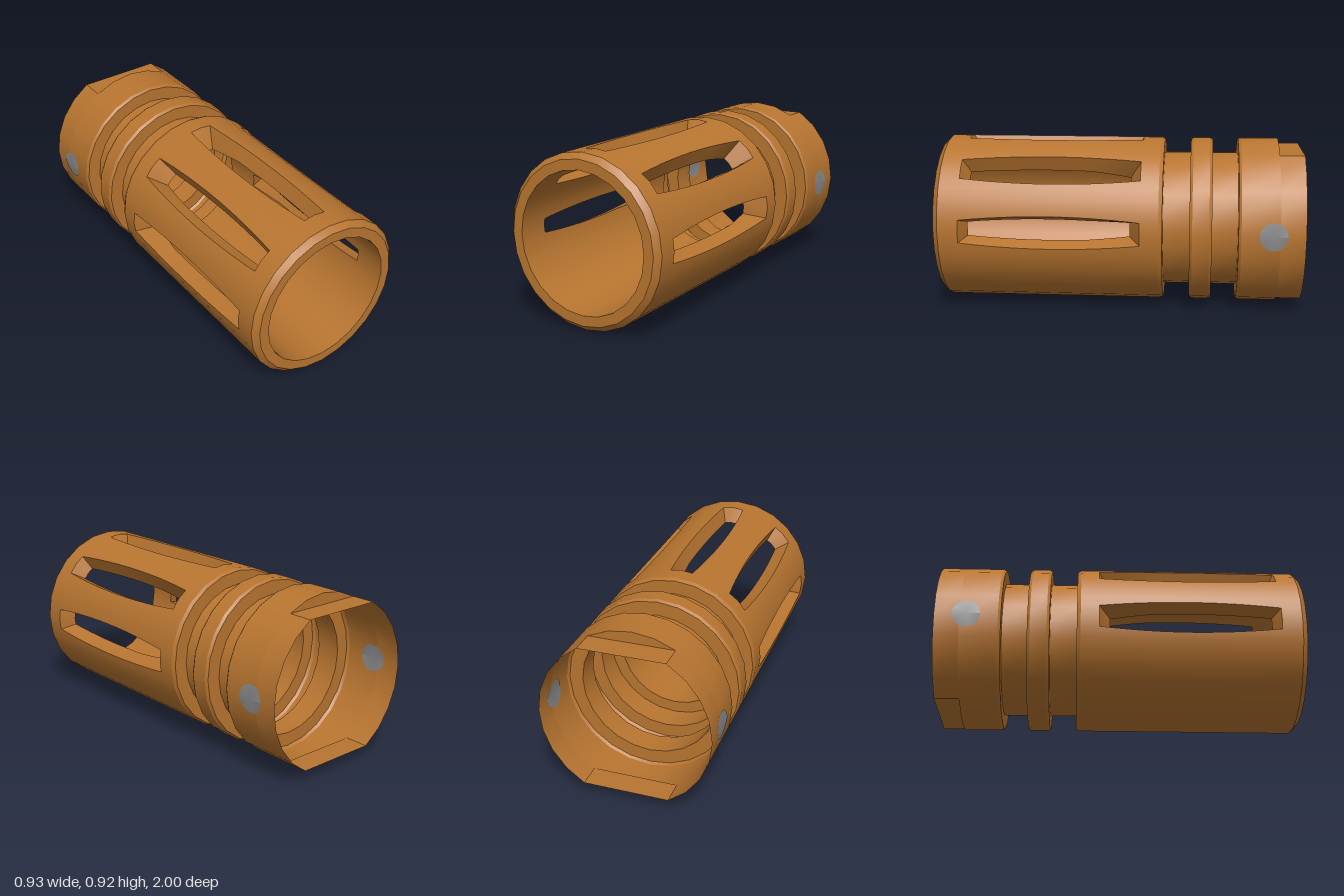
import * as THREE from 'three';
import { toCreasedNormals } from 'three/addons/utils/BufferGeometryUtils.js';

const R = 0.46, BORE = 0.375, THROAT = 0.31, FLAT = R * Math.cos(Math.PI / 6);
const FACET = Math.PI / 12; // 24 sides
const rad = THREE.MathUtils.degToRad;

const bronze = new THREE.MeshStandardMaterial({ color: 0xb87530, side: THREE.DoubleSide });
bronze.name = 'bronze';
const grey = new THREE.MeshStandardMaterial({ color: 0x8a8a8a, side: THREE.DoubleSide });
grey.name = 'pin grey';

// Revolve [z, radius] points around the z axis
function lathe(points, segments = 24, start = 0, length = Math.PI * 2) {
  const g = new THREE.LatheGeometry(points.map(([z, r]) => new THREE.Vector2(r, z)), segments, start, length);
  g.rotateX(Math.PI / 2);
  return toCreasedNormals(g, 0.5);
}

// Point on the 24-sided tube at an angle, radius and depth
function onTube(angle, r, z) {
  const local = angle - Math.floor(angle / FACET + 1e-6) * FACET;
  const rr = r * Math.cos(FACET / 2) / Math.cos(local - FACET / 2);
  return new THREE.Vector3(rr * Math.cos(angle), rr * Math.sin(angle), z);
}

function fromQuads(quads) {
  const pos = [];
  for (const [a, b, c, d] of quads) for (const p of [a, b, c, a, c, d]) pos.push(p.x, p.y, p.z);
  const g = new THREE.BufferGeometry();
  g.setAttribute('position', new THREE.Float32BufferAttribute(pos, 3));
  return g;
}

// Slot rims: outer and inner ends, half widths at the ends and at the middle
const STEPS = 12;
const boreRadius = z => THREE.MathUtils.lerp(BORE, THROAT, THREE.MathUtils.clamp((0.15 - z) / 0.39, 0, 1));
const OUTER = { z0: -0.22, z1: 0.97, a: -0.12, b: 0.86, end: 0.063, mid: 0.09, r: () => R };
const INNER = { z0: -0.24, z1: 1, a: -0.06, b: 0.82, end: 0.038, mid: 0.058, r: boreRadius };

function rim(s) {
  return Array.from({ length: STEPS + 1 }, (_, i) => {
    const t = i / STEPS, z = s.a + (s.b - s.a) * t;
    const half = s.end + (s.mid - s.end) * (1 - (2 * t - 1) ** 2);
    return { z, w: Math.asin(half / s.r(z)) };
  });
}

// One 45 degree sector of the wall, with or without a slot
function sector(s, centre, slotted, sign) {
  const rows = rim(s), quads = [];
  const all = [{ z: s.z0, w: rows[0].w }, ...rows, { z: s.z1, w: rows[STEPS].w }];
  const angles = w => [-rad(22.5), -FACET, -w, 0, w, FACET, rad(22.5)];
  for (let i = 0; i < all.length - 1; i++) {
    const line = ({ z, w }) => angles(w).map(a => onTube(centre + a, s.r(z), z));
    const p = line(all[i]), q = line(all[i + 1]);
    const open = slotted && i > 0 && i < all.length - 2;
    for (let k = 0; k < 6; k++) {
      if (open && (k === 2 || k === 3)) continue;
      quads.push(sign > 0 ? [p[k], p[k + 1], q[k + 1], q[k]] : [p[k], q[k], q[k + 1], p[k + 1]]);
    }
  }
  return quads;
}

// Side and end faces through the wall of one slot
function slotFaces(centre) {
  const o = rim(OUTER), n = rim(INNER), quads = [];
  const at = (s, e, k) => onTube(centre + k * e.w, s.r(e.z), e.z);
  for (let i = 0; i < STEPS; i++) {
    const side = k => [at(OUTER, o[i], k), at(OUTER, o[i + 1], k), at(INNER, n[i + 1], k), at(INNER, n[i], k)];
    quads.push(side(-1).reverse(), side(1));
  }
  for (const i of [0, STEPS]) for (const k of [-1, 0]) {
    const f = [at(OUTER, o[i], k), at(OUTER, o[i], k + 1), at(INNER, n[i], k + 1), at(INNER, n[i], k)];
    quads.push(i === 0 ? f.reverse() : f);
  }
  // Turn every face towards the middle of the slot
  const mid = onTube(centre, 0.41, 0.37);
  for (const q of quads) {
    const nrm = q[1].clone().sub(q[0]).cross(q[2].clone().sub(q[0]));
    if (nrm.dot(mid.clone().sub(q[0])) < 0) q.reverse();
  }
  return toCreasedNormals(fromQuads(quads), 0.5);
}

// Round smooth normals for the tube walls
function wall(quads, sign) {
  const g = fromQuads(quads), p = g.attributes.position, n = [];
  for (let i = 0; i < p.count; i++) {
    const l = Math.hypot(p.getX(i), p.getY(i)) * sign;
    n.push(p.getX(i) / l, p.getY(i) / l, 0);
  }
  g.setAttribute('normal', new THREE.Float32BufferAttribute(n, 3));
  return g;
}

export function createModel() {
  const model = new THREE.Group();
  const tube = new THREE.Group();
  tube.name = 'tube';
  tube.position.y = R;
  model.add(tube);
  const add = (name, geometry, material = bronze) => {
    const m = new THREE.Mesh(geometry, material);
    m.name = name;
    tube.add(m);
    return m;
  };

  // Slotted barrel: five slots, closed underneath
  const outside = [], inside = [];
  for (let i = 0; i < 8; i++) {
    const centre = i * Math.PI / 4, slotted = i <= 4;
    outside.push(...sector(OUTER, centre, slotted, 1));
    inside.push(...sector(INNER, centre, slotted, -1));
    if (slotted) add('slot' + (i + 1), slotFaces(centre));
  }
  add('barrelOutside', wall(outside, 1));
  add('barrelBore', wall(inside, -1));
  add('frontLip', lathe([[0.97, R], [1, 0.43], [1, BORE]]));
  add('throatStep', lathe([[-0.24, THROAT], [-0.24, 0.375]]));

  // Collar, grooves and ring: a thin shell open at the back
  add('collarAndGrooves', lathe([
    [-0.865, R], [-0.66, R], [-0.645, 0.45], [-0.645, 0.375],
    [-0.505, 0.375], [-0.505, 0.45], [-0.49, R],
    [-0.4, R], [-0.385, 0.45], [-0.385, 0.375],
    [-0.24, 0.375], [-0.24, 0.45], [-0.22, R],
  ]));

  // Rear end with a wrench flat above and below
  for (const s of [1, -1]) {
    add('rearSkirt', lathe([[-1, R], [-0.865, R]], 8, s > 0 ? rad(30) : rad(210), rad(120)));

    const flat = new THREE.PlaneGeometry(R, 0.135);
    flat.rotateX(-s * Math.PI / 2);
    flat.translate(0, s * FLAT, -0.9325);
    add('wrenchFlat', flat);

    const arc = [60, 75, 90, 105, 120].map(a => new THREE.Vector2(R * Math.cos(rad(a)), R * Math.sin(rad(a))));
    const step = new THREE.ShapeGeometry(new THREE.Shape(arc));
    step.rotateY(Math.PI);
    if (s < 0) step.rotateZ(Math.PI);
    step.translate(0, 0, -0.865);
    add('flatStep', step);

    // Grey pin spot, on the outside and inside of the collar
    for (const offset of [0.003, -0.003]) {
      const spot = new THREE.CircleGeometry(0.077, 12), p = spot.attributes.position;
      for (let i = 0; i < p.count; i++) {
        const u = p.getX(i), v = p.getY(i);
        p.setXYZ(i, R + offset - Math.abs(v) * Math.tan(FACET / 2), v, -u);
      }
      if (s < 0) spot.rotateY(Math.PI).translate(0, 0, -1.66);
      else spot.translate(0, 0, 0);
      spot.translate(0, 0, s < 0 ? 0.83 : -0.83);
      spot.computeVertexNormals();
      add(offset > 0 ? 'pinOutside' : 'pinInside', spot, grey);
    }
  }
  return model;
}
